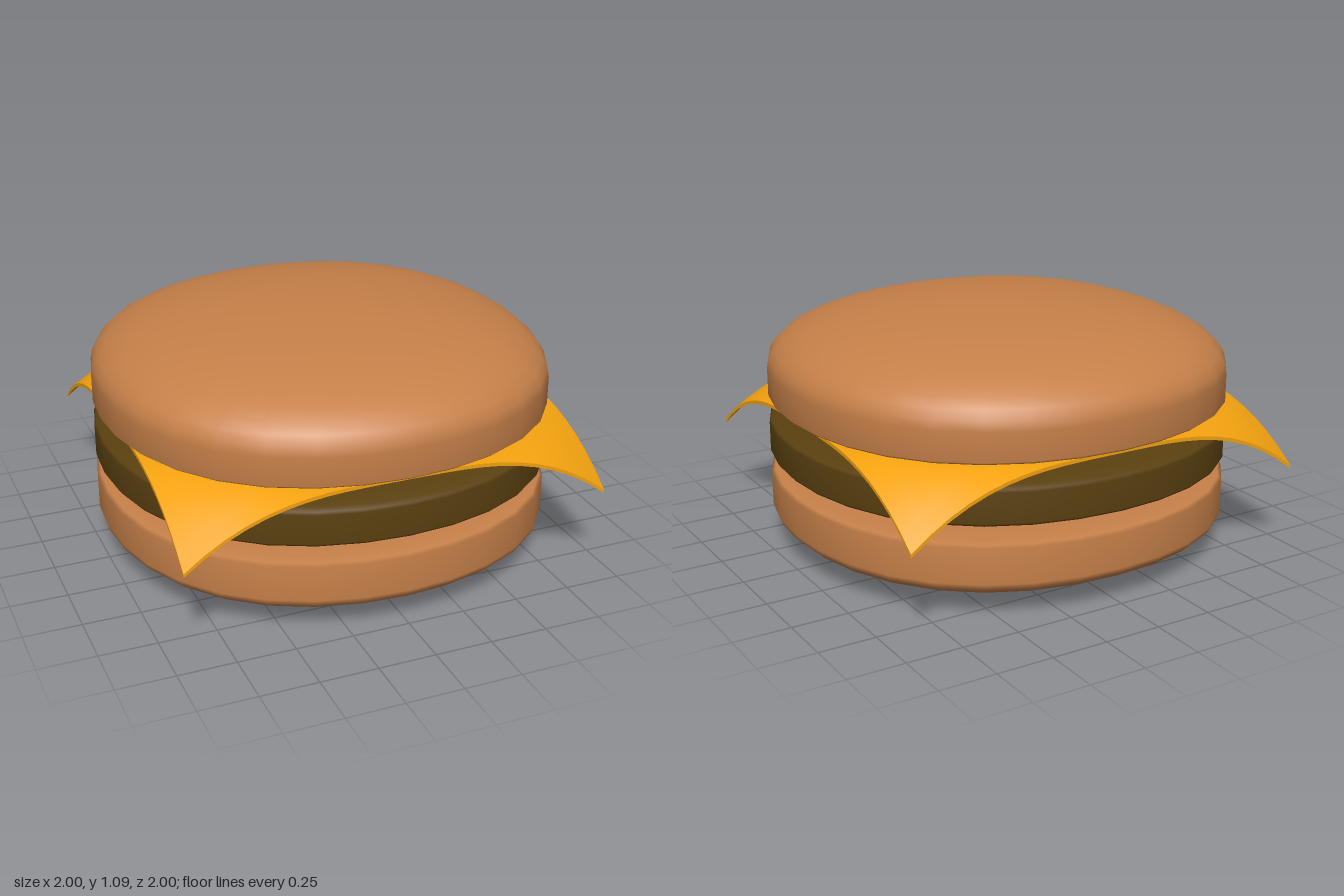
import * as THREE from 'three';
import { mergeVertices } from 'three/addons/utils/BufferGeometryUtils.js';

const V = (x, y) => new THREE.Vector2(x, y);

// Quarter curve between the centre line (x = 0) and the side wall (x = 1).
const dome = (yCentre, ySide, k = 0.61) => new THREE.CubicBezierCurve(
  V(0, yCentre), V(k, yCentre), V(1, yCentre + (ySide - yCentre) * (1 - k)), V(1, ySide)
).getPoints(12);

// Slightly squarish round slab with rounded lower and upper edges.
function slab(name, color, lower, upper) {
  const profile = [...lower, ...upper.slice().reverse()];
  let geo = new THREE.LatheGeometry(profile, 32);
  const p = geo.attributes.position;
  for (let i = 0; i < p.count; i++) {
    const x = p.getX(i), z = p.getZ(i);
    const s = 1 + 0.03 * Math.sin(2 * Math.atan2(z, x)) ** 2;
    p.setXYZ(i, x * s, p.getY(i), z * s);
  }
  // Weld the seam so the shading stays smooth all round.
  geo.deleteAttribute('uv');
  geo.deleteAttribute('normal');
  geo = mergeVertices(geo, 1e-4);
  geo.computeVertexNormals();
  const mesh = new THREE.Mesh(geo, new THREE.MeshStandardMaterial({ color }));
  mesh.name = name;
  return mesh;
}

// Thin square slice whose corners droop outside the patty.
function cheeseSlice() {
  const geo = new THREE.BoxGeometry(1.875, 0.016, 1.875, 22, 1, 22);
  const p = geo.attributes.position;
  for (let i = 0; i < p.count; i++) {
    const r = Math.hypot(p.getX(i), p.getZ(i));
    const t = Math.max(0, r - 0.94) / 0.386;
    p.setY(i, p.getY(i) + 0.641 - 0.242 * t ** 1.8);
  }
  geo.computeVertexNormals();
  const mesh = new THREE.Mesh(geo, new THREE.MeshStandardMaterial({ color: 0xf5a30f }));
  mesh.name = 'cheeseSlice';
  return mesh;
}

export function createModel() {
  const group = new THREE.Group();
  group.name = 'cheeseburger';
  const bun = 0xc68049;
  // Nearly flat faces with a small rounded rim where the buns meet the filling.
  const rim = (y, side) => [V(0, y), V(0.5, y), V(0.85, y), V(0.94, y + (side - y) * 0.15),
    V(0.985, y + (side - y) * 0.45), V(1, side)];
  group.add(
    slab('bottomBun', bun, dome(0, 0.16), rim(0.335, 0.315)),
    slab('patty', 0x5a4010, dome(0.342, 0.42), dome(0.622, 0.55)),
    cheeseSlice(),
    slab('topBun', bun, rim(0.652, 0.675), dome(1.085, 0.8))
  );
  return group;
}
